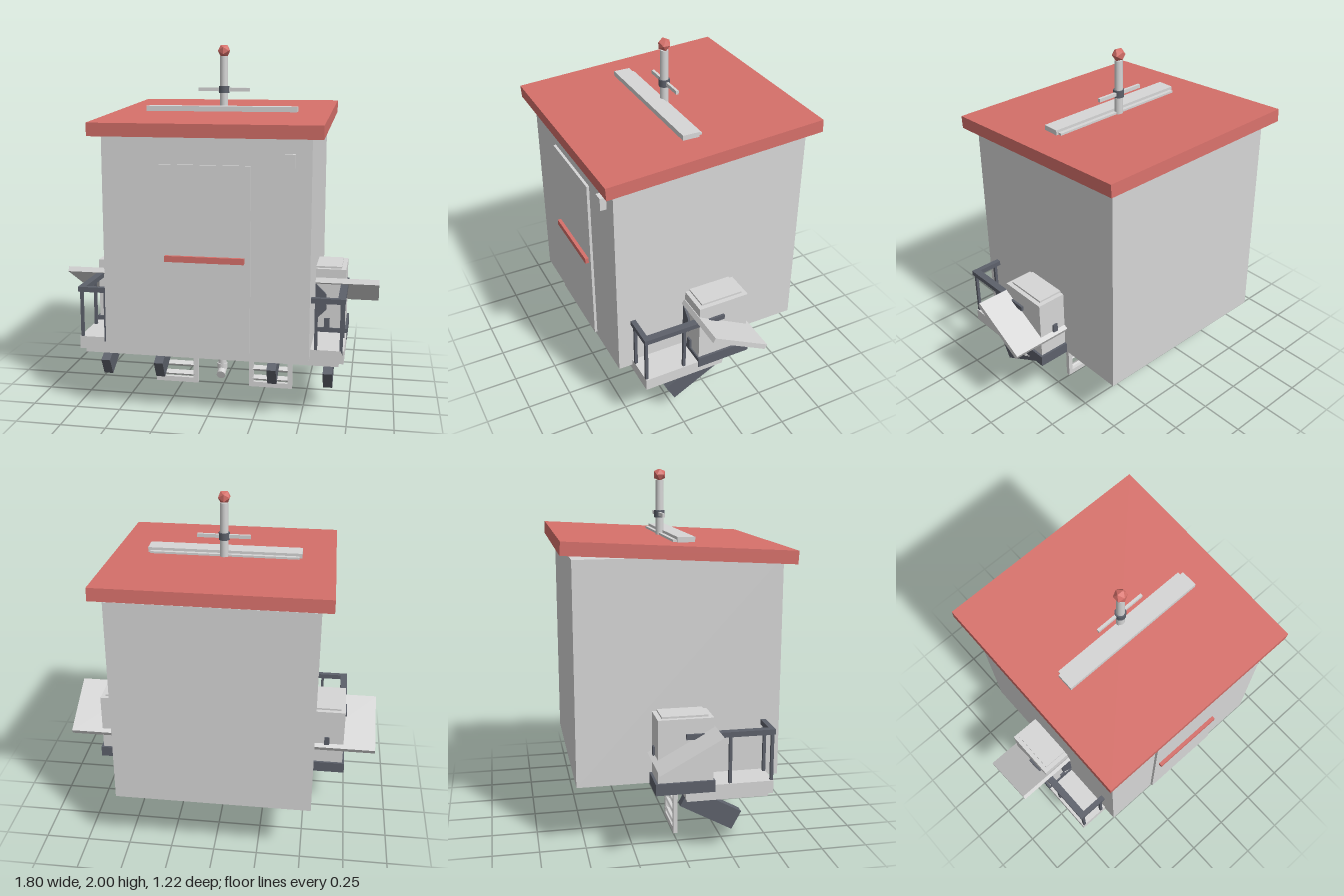
import * as THREE from 'three';

const mat = (name, color, flat = false) => {
  const m = new THREE.MeshStandardMaterial({ color, flatShading: flat });
  m.name = name;
  return m;
};

export function createModel() {
  const model = new THREE.Group();
  model.name = 'equipmentHut';
  const grey = mat('light grey', 0xd6d6d6);
  const red = mat('roof red', 0xd6706a, true);
  const dark = mat('slate', 0x5d616b);

  const add = (parent, name, geo, material, x, y, z, rx = 0) => {
    const mesh = new THREE.Mesh(geo, material);
    mesh.name = name;
    mesh.position.set(x, y, z);
    mesh.rotation.x = rx;
    parent.add(mesh);
    return mesh;
  };
  // Box given by its limits on each axis
  const box = (parent, name, material, [x0, x1], [y0, y1], [z0, z1]) =>
    add(parent, name, new THREE.BoxGeometry(Math.abs(x1 - x0), y1 - y0, z1 - z0), material,
      (x0 + x1) / 2, (y0 + y1) / 2, (z0 + z1) / 2);
  const cyl = (parent, name, material, rTop, rBottom, h, x, y, z, rx = 0, sides = 12) =>
    add(parent, name, new THREE.CylinderGeometry(rTop, rBottom, h, sides), material, x, y, z, rx);

  // Hut body and door
  box(model, 'body', grey, [-0.55, 0.55], [0.37, 1.57], [-0.55, 0.55]);
  box(model, 'door', grey, [-0.24, 0.24], [0.395, 1.385], [0.54, 0.565]);
  box(model, 'doorBar', red, [-0.21, 0.21], [0.876, 0.908], [0.56, 0.585]);
  box(model, 'wallBox', grey, [0.415, 0.468], [1.38, 1.45], [0.54, 0.585]);

  // Sloping roof with ridge bar
  add(model, 'roof', new THREE.BoxGeometry(1.22, 0.07, 1.22), red, 0, 1.598, 0, 0.0585);
  box(model, 'roofBar', grey, [-0.425, 0.425], [1.632, 1.66], [0.013, 0.107]);
  box(model, 'roofBarBase', grey, [-0.41, 0.41], [1.6, 1.645], [-0.008, 0.015]);

  // Mast
  cyl(model, 'mast', grey, 0.022, 0.024, 0.34, 0, 1.765, 0);
  cyl(model, 'mastCollar', dark, 0.03, 0.03, 0.04, 0, 1.75, 0);
  box(model, 'mastCrossbar', grey, [-0.146, 0.146], [1.74, 1.76], [-0.012, 0.003]);
  add(model, 'mastBall', new THREE.IcosahedronGeometry(0.037, 0), red, 0, 1.965, 0);

  // Deck and layers under the hut
  box(model, 'deck', grey, [-0.727, 0.727], [0.335, 0.405], [0, 0.47]);
  box(model, 'underDeck', grey, [-0.7, 0.7], [0.31, 0.336], [0.01, 0.45]);
  box(model, 'rearStep', grey, [-0.29, 0.29], [0.345, 0.372], [-0.118, 0.01]);
  box(model, 'rearStepLower', grey, [-0.265, 0.265], [0.328, 0.346], [-0.1, 0.01]);
  box(model, 'centreBox', grey, [-0.24, 0.24], [0.25, 0.312], [0.03, 0.1]);

  // Drain pipe with collar and elbow
  cyl(model, 'drainPipe', grey, 0.024, 0.024, 0.15, 0, 0.19, 0.05);
  cyl(model, 'drainCollar', grey, 0.031, 0.031, 0.03, 0, 0.132, 0.05);
  cyl(model, 'drainElbow', grey, 0.026, 0.026, 0.06, 0, 0.1, 0.075, Math.PI / 2 + 0.35);
  add(model, 'drainJoint', new THREE.SphereGeometry(0.026, 12, 8), grey, 0, 0.108, 0.052);

  // Everything that repeats on both sides
  for (const [s, label] of [[1, 'left'], [-1, 'right']]) {
    const side = new THREE.Group();
    side.name = label + 'Side';
    model.add(side);
    const sbox = (name, m, [x0, x1], y, z) => box(side, name, m, [s * x0, s * x1], y, z);

    // Side cabinet on its dark plinth
    sbox('plinth', dark, [0.3, 0.73], [0.368, 0.43], [-0.16, 0.155]);
    sbox('cabinet', grey, [0.4, 0.717], [0.43, 0.768], [-0.147, 0.147]);
    sbox('cabinetLid', grey, [0.42, 0.692], [0.766, 0.778], [-0.122, 0.122]);
    const fan = cyl(side, 'fan', dark, 0.115, 0.115, 0.016, s * 0.505, 0.58, 0.152, Math.PI / 2, 8);
    fan.rotation.y = Math.PI / 8;
    sbox('frontLatch', dark, [0.6, 0.632], [0.43, 0.485], [0.14, 0.158]);
    sbox('rearLatch', dark, [0.605, 0.635], [0.54, 0.6], [-0.156, -0.14]);

    // Tilted side panel
    add(side, 'tiltedPanel', new THREE.BoxGeometry(0.4, 0.03, 0.37), grey, s * 0.7, 0.618, -0.002, -0.5);

    // Railing
    sbox('sideRail', dark, [0.69, 0.73], [0.66, 0.688], [0, 0.475]);
    sbox('frontRail', dark, [0.5, 0.73], [0.66, 0.688], [0.447, 0.475]);
    for (const [x, z] of [[0.578, 0.462], [0.712, 0.462], [0.712, 0.237]])
      sbox('railPost', dark, [x - 0.008, x + 0.008], [0.38, 0.665], [z - 0.008, z + 0.008]);

    // Slanted braces
    for (const x of [0.635, 0.323])
      add(side, 'brace', new THREE.BoxGeometry(0.052, 0.11, 0.32), dark, s * x, 0.244, 0.15, 0.5);
    sbox('ladderBracket', dark, [0.22, 0.25], [0.195, 0.3], [-0.012, -0.002]);

    // Ladder
    for (const x of [0.155, 0.385])
      sbox('ladderStile', grey, [x, x + 0.027], [0, 0.335], [0, 0.024]);
    sbox('ladderFoot', grey, [0.155, 0.412], [0, 0.03], [0, 0.024]);
    for (let i = 0; i < 5; i++)
      add(side, 'ladderRung', new THREE.BoxGeometry(0.21, 0.012, 0.03), grey,
        s * 0.283, 0.055 + i * 0.06, 0.012, 0.6);
  }
  return model;
}
